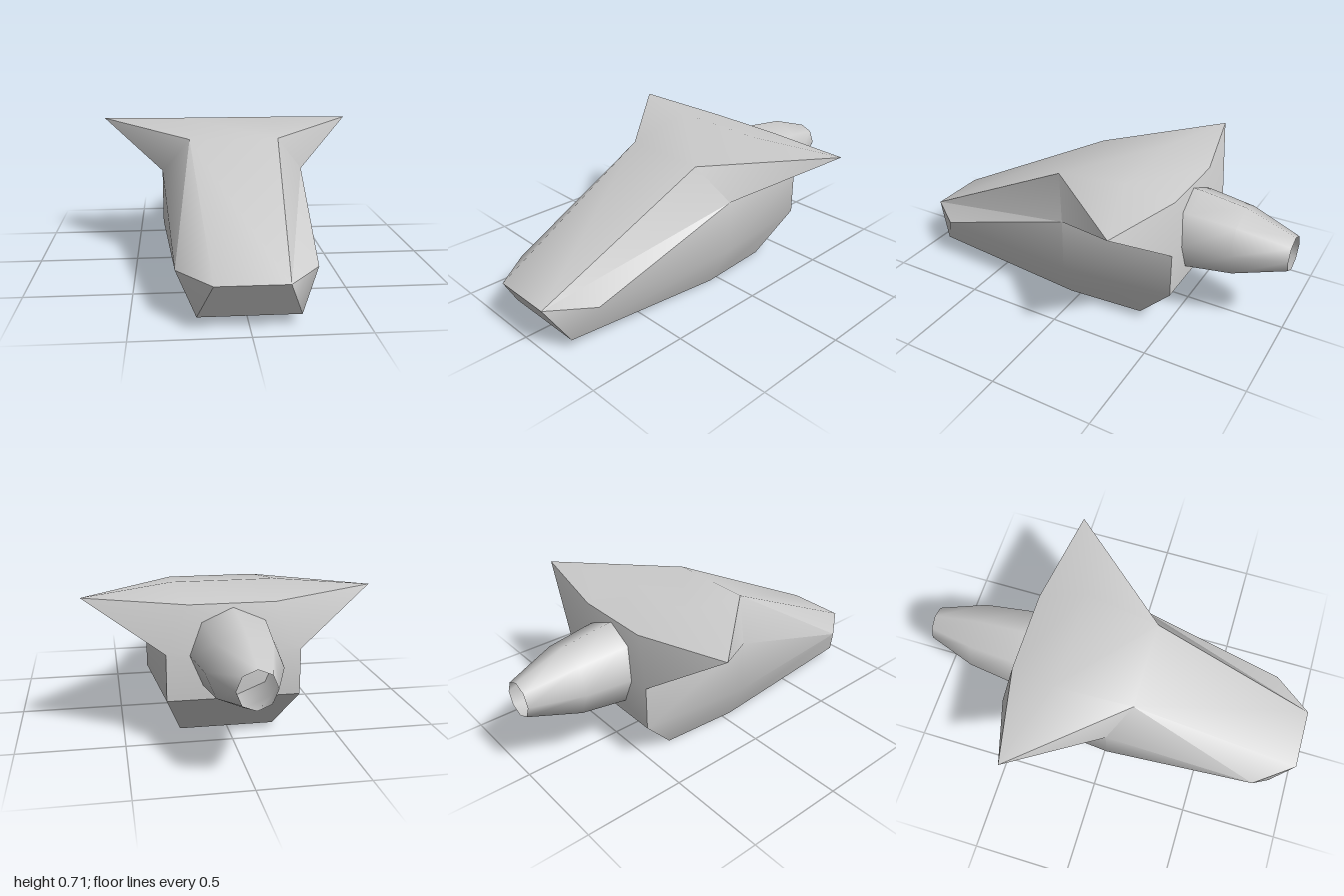
import * as THREE from 'three';
import { toCreasedNormals } from 'three/addons/utils/BufferGeometryUtils.js';

// Corner points of the hull's left half (+x)
const P = {
  noseTop: [0.155, 0.22, 1], noseSide: [0.305, 0.22, 0.8], noseLow: [0.22, 0.05, 0.9],
  deckFront: [0.22, 0.655, 0.13], deckMid: [0.25, 0.71, -0.25], deckRear: [0.2, 0.655, -0.485],
  wingRoot: [0.357, 0.48, 0.03], sideLow: [0.357, 0.21, 0.03],
  bellyMid: [0.255, 0, 0.05], bellyRear: [0.23, 0, -0.34],
  rearLow: [0.31, 0.22, -0.53], rearHigh: [0.31, 0.44, -0.53],
  wingTip: [0.675, 0.685, -0.4],
};
const rightTip = [-0.675, 0.695, -0.378]; // the right wing sits slightly higher

// Panels of one side, counter-clockwise seen from outside
const sidePanels = [
  'noseLow noseSide noseTop',
  'noseTop noseSide wingRoot deckFront',
  'noseSide sideLow wingRoot',
  'noseLow bellyMid sideLow noseSide',
  'bellyMid bellyRear rearLow sideLow',
  'sideLow rearLow rearHigh wingRoot',
  'wingRoot rearHigh wingTip',
  'wingRoot wingTip deckFront',
  'deckFront wingTip deckMid',
  'deckMid wingTip deckRear',
  'deckRear wingTip rearHigh',
];
// Lengthwise loop joined across the middle by quads
const centreLoop = ['noseTop', 'deckFront', 'deckMid', 'deckRear', 'rearHigh',
  'rearLow', 'bellyRear', 'bellyMid', 'noseLow'];

function hullGeometry() {
  const pos = [];
  const mirror = (n) => (n === 'wingTip' ? rightTip : [-P[n][0], P[n][1], P[n][2]]);
  const face = (pts) => {
    for (let i = 1; i < pts.length - 1; i++) pos.push(...pts[0], ...pts[i], ...pts[i + 1]);
  };
  for (const panel of sidePanels) {
    const names = panel.split(' ');
    face(names.map((n) => P[n]));
    face(names.map(mirror).reverse());
  }
  centreLoop.forEach((a, i) => {
    const b = centreLoop[(i + 1) % centreLoop.length];
    face([P[a], P[b], mirror(b), mirror(a)]);
  });
  const g = new THREE.BufferGeometry();
  g.setAttribute('position', new THREE.Float32BufferAttribute(pos, 3));
  return toCreasedNormals(g, 0.7);
}

export function createModel() {
  const model = new THREE.Group();
  model.name = 'spacecraft';

  // Faceted hull with swept wings
  const hull = new THREE.Mesh(hullGeometry(), new THREE.MeshStandardMaterial({ color: 0xcccccc }));
  hull.name = 'hull';
  model.add(hull);

  // Open tapered engine nozzle pointing backwards
  const profile = [[0.205, 0.47], [0.203, 0.53], [0.172, 0.755], [0.086, 1]]
    .map(([r, d]) => new THREE.Vector2(r, d));
  const nozzleGeometry = new THREE.LatheGeometry(profile, 8).rotateX(-Math.PI / 2);
  const nozzle = new THREE.Mesh(nozzleGeometry,
    new THREE.MeshStandardMaterial({ color: 0xcccccc, side: THREE.DoubleSide }));
  nozzle.name = 'engineNozzle';
  nozzle.position.y = 0.432;
  model.add(nozzle);

  return model;
}
